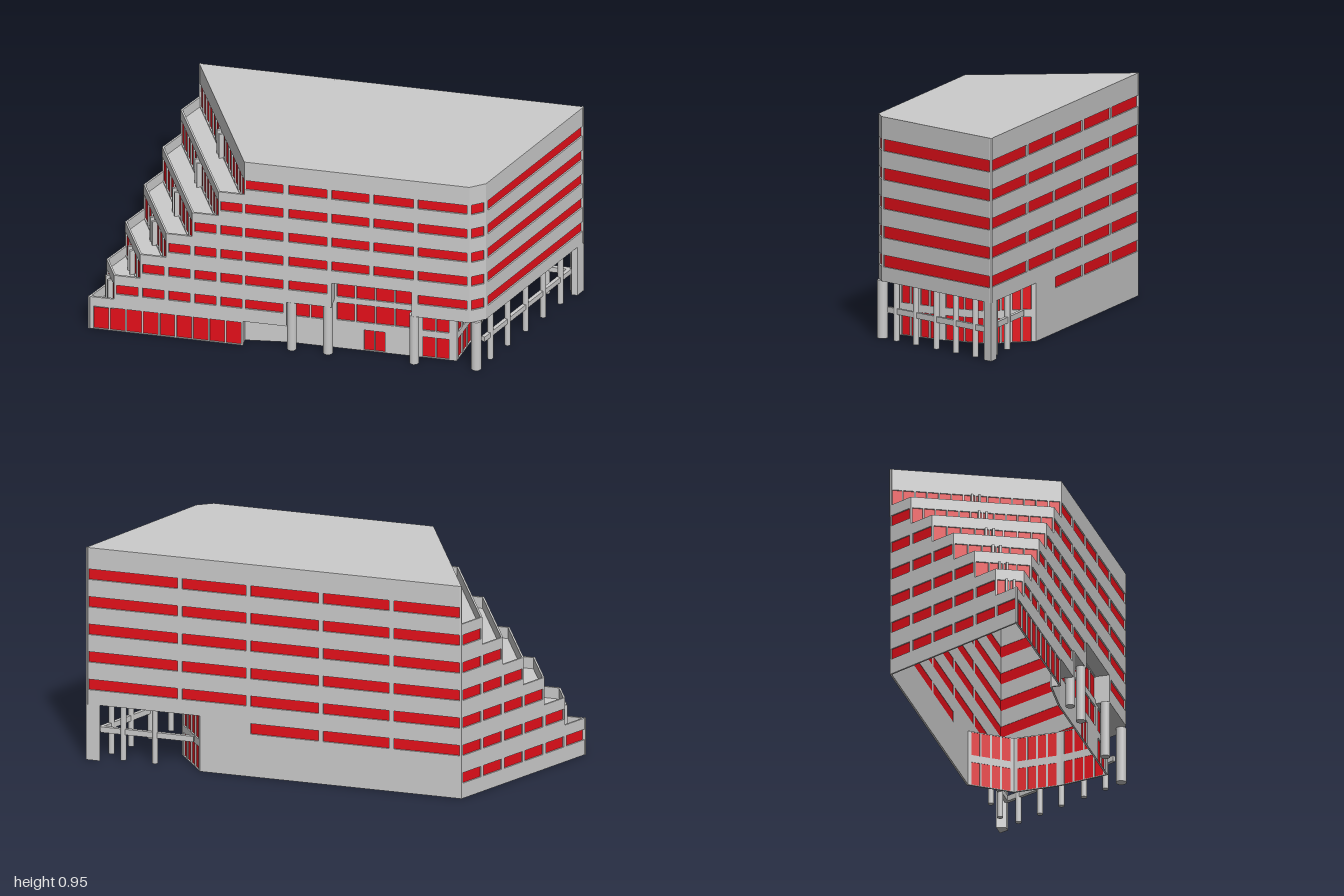
import * as THREE from 'three';

const grey = new THREE.MeshStandardMaterial({ color: 0xcccccc, side: THREE.DoubleSide });
const red = new THREE.MeshStandardMaterial({ color: 0xe60f1a, side: THREE.DoubleSide });
const T = 0.008; // wall thickness
const ROOF = 0.955, SOFFIT = 0.25, Z = 0.33;

// Storey k = 1..7: parapet top, window head (also the terrace deck level)
const top = k => (k === 7 ? ROOF : 0.165 + 0.124 * (k - 1));
const head = k => 0.115 + 0.124 * (k - 1);
// Ends of each storey's slanted terrace edge, on the front and on the left facade
const frontX = k => -1 + (0.67 / 6) * (k - 1);
const leftPt = k => [-1 + (0.35 / 6) * (k - 1), Z - 0.11 * (k - 1)];

const poly = pts => new THREE.Shape(pts.map(p => new THREE.Vector2(p[0], p[1])));
const rect = (a, b, y0, y1) => [[a, y0], [b, y0], [b, y1], [a, y1]];
const length = (p, q) => Math.hypot(q[0] - p[0], q[1] - p[1]);

// n panes between a and b with a gap between them
function panes(a, b, n, y0, y1, gap = 0.008) {
  const w = (b - a) / n;
  return Array.from({ length: n }, (_, i) => [a + i * w + gap / 2, a + (i + 1) * w - gap / 2, y0, y1]);
}

// Upright wall from plan point p to q (left to right seen from outside), with glazed openings
function wall(name, p, q, outline, openings = []) {
  const g = new THREE.Group();
  g.name = name;
  const shape = poly(outline);
  for (const [a, b, y0, y1] of openings) {
    shape.holes.push(poly(rect(a, b, y0, y1)));
    const pane = new THREE.Mesh(new THREE.PlaneGeometry(b - a, y1 - y0), red);
    pane.position.set((a + b) / 2, (y0 + y1) / 2, -T * 0.8);
    pane.name = 'windowPane';
    g.add(pane);
  }
  const geo = new THREE.ExtrudeGeometry(shape, { depth: T, bevelEnabled: false });
  const mesh = new THREE.Mesh(geo.translate(0, 0, -T), grey);
  mesh.name = 'wallPanel';
  g.add(mesh);
  g.position.set(p[0], 0, p[1]);
  g.rotation.y = Math.atan2(p[1] - q[1], q[0] - p[0]);
  return g;
}

// Flat horizontal sheet from plan points
function slab(name, pts, y) {
  const geo = new THREE.ShapeGeometry(poly(pts.map(([x, z]) => [x, -z])));
  const m = new THREE.Mesh(geo.rotateX(-Math.PI / 2), grey);
  m.position.y = y;
  m.name = name;
  return m;
}

function column(name, x, z, r, h) {
  const m = new THREE.Mesh(new THREE.CylinderGeometry(r, r, h, 12), grey);
  m.position.set(x, h / 2, z);
  m.name = name;
  return m;
}

// Horizontal bar between two plan points
function beam(name, p, q, y) {
  const m = new THREE.Mesh(new THREE.BoxGeometry(length(p, q), 0.025, 0.016), grey);
  m.position.set((p[0] + q[0]) / 2, y, (p[1] + q[1]) / 2);
  m.rotation.y = Math.atan2(p[1] - q[1], q[0] - p[0]);
  m.name = name;
  return m;
}

export function createModel() {
  const g = new THREE.Group();
  const A = [-1, Z], B = [0.635, Z], C = [0.7, 0.29], D = [1, -Z], E = leftPt(7);

  // Front facade: stepped on the left, cut away over the recessed entrance
  const front = [[-1, 0], [-0.335, 0], [-0.335, 0.125], [-0.15, 0.125], [-0.15, SOFFIT], [0.045, SOFFIT],
    [0.045, 0.375], [0.395, 0.375], [0.395, SOFFIT], [0.635, SOFFIT], [0.635, ROOF], [frontX(7), ROOF]];
  for (let k = 6; k >= 1; k--) front.push([frontX(k + 1), top(k)], [frontX(k), top(k)]);
  const frontWin = panes(-0.98, -0.34, 9, 0.003, 0.118);
  const bays = [[-0.325, -0.165], [-0.14, 0.025], [0.045, 0.205], [0.225, 0.395], [0.415, 0.625]];
  for (let k = 2; k <= 7; k++) {
    const y0 = head(k) - 0.047, y1 = head(k);
    for (let j = k; j < 7; j++) frontWin.push([frontX(j) + 0.01, frontX(j + 1) - 0.01, y0, y1]);
    bays.forEach(([a, b], i) => {
      if ((k === 2 && i > 0) || (k === 3 && (i === 2 || i === 3))) return;
      frontWin.push([a, b, y0, y1]);
    });
  }
  const shift = v => v.map(([x, y]) => [x + 1, y]);
  g.add(wall('frontFacade', A, B, shift(front), frontWin.map(([a, b, c, d]) => [a + 1, b + 1, c, d])));

  // Right facade and the chamfered corner: ribbon windows on the upper five storeys
  for (const [name, p, q] of [['chamferFacade', B, C], ['rightFacade', C, D]]) {
    const L = length(p, q), win = [];
    for (let k = 3; k <= 7; k++) win.push([0.011, L - 0.01, head(k) - 0.05, head(k)]);
    g.add(wall(name, p, q, rect(0, L, SOFFIT, ROOF), win));
  }

  // Back facade
  const backX = [1, 0.588, 0.288, -0.032, -0.342, -0.65], backWin = [];
  for (let k = 2; k <= 7; k++) {
    for (let i = 0; i < 5; i++) {
      const start = k === 2 && i === 1 ? 0.288 : backX[i];
      if (k === 2 && i < 2) continue;
      backWin.push([1 - start + 0.01, 1 - backX[i + 1] - 0.01, head(k) - 0.047, head(k)]);
    }
  }
  g.add(wall('backFacade', D, E,
    [[0, SOFFIT], [0.5, SOFFIT], [0.5, 0], [1.65, 0], [1.65, ROOF], [0, ROOF]], backWin));

  // Left facade, one bay shorter on every storey
  const L = length(E, A), bay = L / 6, left = [[0, 0], [L, 0]], leftWin = [];
  for (let k = 1; k <= 6; k++) {
    left.push([(7 - k) * bay, top(k)], [(6 - k) * bay, top(k)]);
    leftWin.push(...panes(0, (7 - k) * bay, 7 - k, head(k) - 0.047, head(k), 0.016));
  }
  g.add(wall('leftFacade', E, A, left, leftWin));

  // Terraces: sunken deck, glazed slanted wall above it with a door frame in the middle
  for (let k = 1; k <= 6; k++) {
    const p = leftPt(k + 1), q = [frontX(k + 1), Z], len = length(p, q);
    const deckPts = [[frontX(k), Z], q, p];
    if (k > 1) deckPts.push(leftPt(k));
    g.add(slab('terraceDeck', deckPts, head(k)));
    const n = 2 * Math.max(1, Math.round(len / 0.11));
    const w = wall('terraceWall', p, q, rect(0, len, head(k), top(k + 1)),
      panes(0.004, len - 0.004, n, head(k) + 0.004, head(k + 1), 0.007));
    for (const s of [-1, 1]) {
      const post = new THREE.Mesh(new THREE.BoxGeometry(0.01, 0.124, 0.022), grey);
      post.position.set(len / 2 + s * 0.016, head(k) + 0.062, 0.006);
      post.name = 'doorPost';
      w.add(post);
    }
    g.add(w);
  }

  g.add(slab('roof', [[frontX(7), Z], B, C, D, E], ROOF));

  // Recessed ground floor: service wall, entrance front and glazed right side
  const path = [[-0.335, 0.29], [-0.15, 0.27], [0.57, 0.27], [0.62, 0.05], [0.63, -0.16], [0.5, -Z]];
  g.add(wall('serviceWall', path[0], path[1], rect(0, length(path[0], path[1]), 0, 0.125)));
  g.add(slab('serviceSoffit', [[-0.335, Z], [-0.15, Z], path[1], path[0]], 0.125));
  g.add(wall('serviceReveal', [-0.335, Z], path[0], rect(0, 0.04, 0, 0.125)));
  g.add(wall('upperReveal', [-0.15, Z], path[1], rect(0, 0.06, 0.125, SOFFIT)));
  const entrance = [[-0.15, 0], [0.57, 0], [0.57, SOFFIT], [0.395, SOFFIT], [0.395, 0.375], [0.045, 0.375],
    [0.045, SOFFIT], [-0.15, SOFFIT]].map(([x, y]) => [x + 0.15, y]);
  const entranceWin = [
    ...panes(-0.125, 0.01, 2, 0.14, 0.246),
    ...panes(0.052, 0.388, 4, 0.265, 0.37), ...panes(0.052, 0.388, 4, 0.145, 0.235),
    ...panes(0.17, 0.265, 2, 0.003, 0.107, 0.004),
    ...panes(0.42, 0.54, 2, 0.14, 0.246), ...panes(0.42, 0.54, 2, 0.003, 0.107),
  ].map(([a, b, c, d]) => [a + 0.15, b + 0.15, c, d]);
  g.add(wall('entranceWall', path[1], path[2], entrance, entranceWin));
  for (let i = 2; i < 5; i++) {
    const len = length(path[i], path[i + 1]);
    const win = [[0.003, 0.107], [0.14, 0.246]].flatMap(([a, b]) => panes(0.015, len - 0.015, 4, a, b));
    g.add(wall('lobbyWall', path[i], path[i + 1], rect(0, len, 0, SOFFIT), win));
  }

  // Undersides of the overhang and the tall entrance bay
  g.add(slab('leftSoffit', [[-0.15, Z], [0.045, Z], [0.045, 0.27], [-0.15, 0.27]], SOFFIT));
  g.add(slab('rightSoffit', [[0.395, Z], B, C, D, ...path.slice(2).reverse(), [0.395, 0.27]], SOFFIT));
  g.add(slab('baySoffit', [[0.045, Z], [0.395, Z], [0.395, 0.27], [0.045, 0.27]], 0.375));
  for (const x of [0.045, 0.395]) g.add(wall('bayReveal', [x, Z], [x, 0.27], rect(0, 0.06, SOFFIT, 0.375)));

  // Columns in front, along the right edge and along the back
  for (const x of [-0.13, 0.025, 0.395]) g.add(column('frontColumn', x, 0.31, 0.021, SOFFIT));
  g.add(column('cornerColumn', 0.66, 0.302, 0.023, SOFFIT));
  const edgeX = z => 0.7 + (0.29 - z) * 0.484 - 0.03;
  for (const z of [0.22, 0.11, -0.005, -0.115, -0.225]) g.add(column('sideColumn', edgeX(z), z, 0.013, SOFFIT));
  for (const x of [0.85, 0.71]) g.add(column('backColumn', x, -0.285, 0.013, SOFFIT));
  g.add(beam('sideRail', [edgeX(0.265), 0.265], [edgeX(-0.285), -0.285], 0.127));
  g.add(beam('backRail', [edgeX(-0.285), -0.285], [0.54, -0.285], 0.127));

  // Wedge-shaped pier at the back right corner
  const pier = new THREE.Mesh(new THREE.ExtrudeGeometry(
    poly([[1, Z], [0.94, Z], [0.955, 0.288], [0.98, 0.288]]), { depth: SOFFIT, bevelEnabled: false }), grey);
  pier.rotation.x = -Math.PI / 2;
  pier.name = 'cornerPier';
  g.add(pier);
  return g;
}
